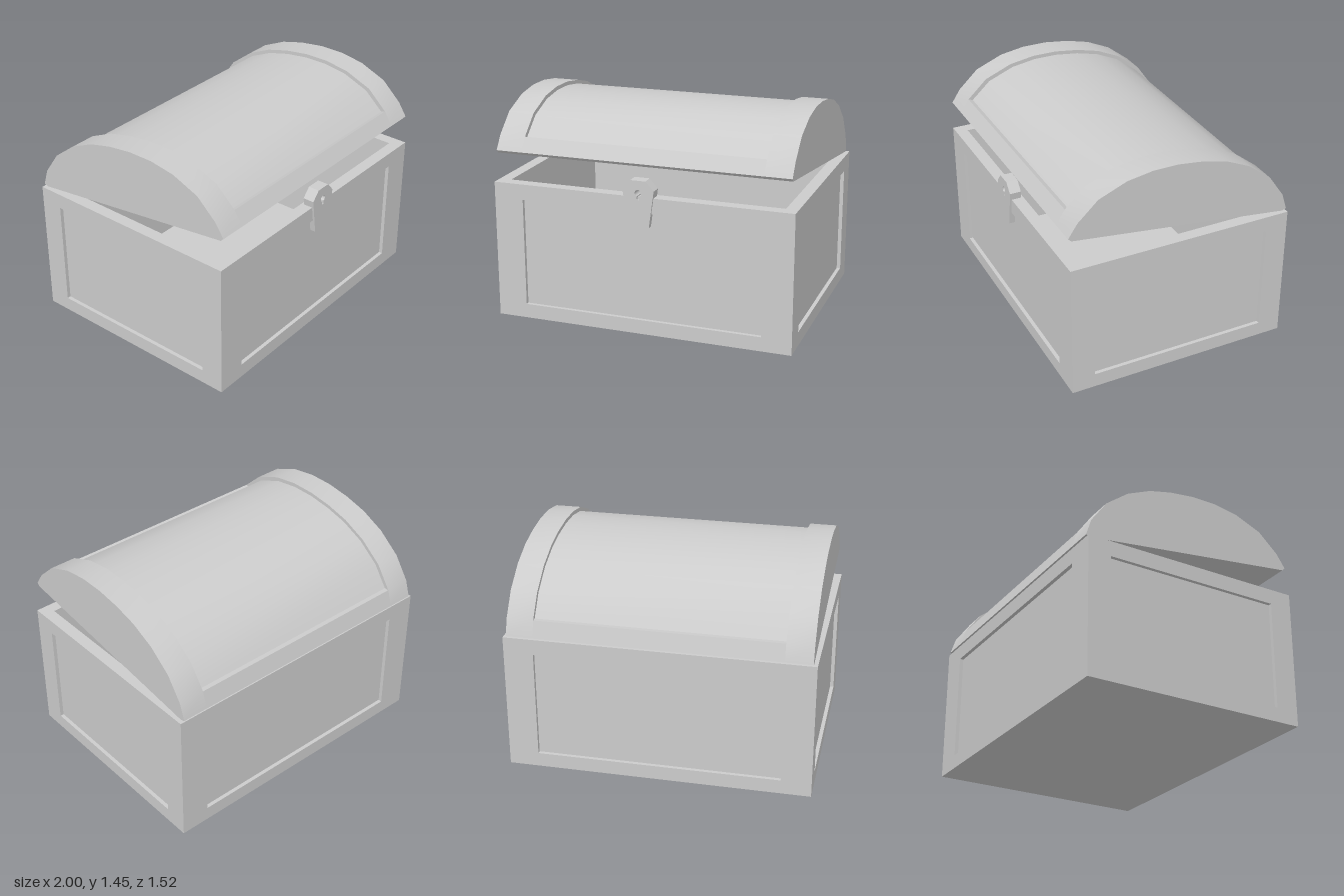
import * as THREE from 'three';
import { toCreasedNormals } from 'three/addons/utils/BufferGeometryUtils.js';

const material = new THREE.MeshStandardMaterial({ color: 0xcccccc });

const polygon = (points) => new THREE.Shape(points.map(([x, y]) => new THREE.Vector2(x, y)));
const rect = (x0, y0, x1, y1) => polygon([[x0, y0], [x1, y0], [x1, y1], [x0, y1]]);
const extrude = (shape, depth) =>
  new THREE.ExtrudeGeometry(shape, { depth, bevelEnabled: false, curveSegments: 16 });

function add(parent, name, geometry) {
  const mesh = new THREE.Mesh(geometry, material);
  mesh.name = name;
  parent.add(mesh);
  return mesh;
}

// Outer size of the box, the depth of its sunken panels and its wall thickness
const W = 1, D = 0.754, H = 0.918, RECESS = 0.025, WALL = 0.08;

// Flat border around a sunken panel, standing on y = 0 and facing +z
function frame(halfWidth, panelHalfWidth) {
  const shape = rect(-halfWidth, 0, halfWidth, H);
  shape.holes.push(rect(-panelHalfWidth, 0.095, panelHalfWidth, 0.815));
  return extrude(shape, RECESS);
}

function createBox() {
  const box = new THREE.Group();
  box.name = 'box';

  // Hollow core whose outer faces are the sunken panels
  const cw = W - RECESS, cd = D - RECESS, iw = W - WALL, id = D - WALL;
  const ring = rect(-cw, -cd, cw, cd);
  ring.holes.push(rect(-iw, -id, iw, id));
  add(box, 'walls', extrude(ring, H).rotateX(-Math.PI / 2));
  add(box, 'floor', new THREE.BoxGeometry(2 * iw, 0.06, 2 * id).translate(0, 0.03, 0));

  // Borders on the four sides
  for (const [name, turn] of [['front', 0], ['back', Math.PI]]) {
    add(box, name + 'Frame', frame(W, 0.803).translate(0, 0, cd).rotateY(turn));
  }
  for (const [name, turn] of [['left', Math.PI / 2], ['right', -Math.PI / 2]]) {
    add(box, name + 'Frame', frame(cd, 0.6).translate(0, 0, cw).rotateY(turn));
  }
  box.position.z = -0.003;
  return box;
}

// Extrudes a (z, y) profile along x between two positions
function alongX(points, x0, x1) {
  const g = extrude(polygon(points), x1 - x0).rotateY(-Math.PI / 2).translate(x1, 0, 0);
  return toCreasedNormals(g, 0.5);
}

function createLid() {
  const lid = new THREE.Group();
  lid.name = 'lid';

  // Tilted underside, then the arch from back to front
  const base = [[0.75, 1.13], [0.73, 1.11], [-0.73, 0.92], [-0.76, 0.93]];
  const arch = [
    [-0.725, 1.04], [-0.62, 1.19], [-0.465, 1.31], [-0.3, 1.385], [-0.14, 1.425],
    [0.03, 1.447], [0.2, 1.447], [0.37, 1.42], [0.555, 1.345], [0.69, 1.22],
  ];
  const sunken = arch.map(([z, y]) => [z * 0.957, 1.04 + (y - 1.04) * 0.937]);

  const x0 = 0.8, x1 = 0.975;
  add(lid, 'leftLidBand', alongX([...base, ...arch], x0, x1));
  add(lid, 'rightLidBand', alongX([...base, ...arch], -x1, -x0));
  // Sunken middle, keeping a raised strip along its front and back edges
  add(lid, 'lidPanel', alongX([...base, arch[0], ...sunken, arch[arch.length - 1]], -x0, x0));
  return lid;
}

function createLatch() {
  const plate = polygon([
    [-0.07, 0.727], [0.07, 0.727], [0.104, 0.967], [0.05, 1.027], [-0.05, 1.027], [-0.104, 0.967],
  ]);
  // Keyhole: round top with a narrow slot below
  const keyhole = new THREE.Path();
  keyhole.moveTo(-0.008, 0.902);
  keyhole.lineTo(0.008, 0.902);
  keyhole.absarc(0, 0.946, 0.022, -1.2, Math.PI + 1.2, false);
  keyhole.closePath();
  plate.holes.push(keyhole);
  return extrude(plate, 0.076).translate(0, 0, 0.688);
}

export function createModel() {
  const chest = new THREE.Group();
  chest.name = 'chest';
  chest.add(createBox(), createLid());
  add(chest, 'latch', createLatch());
  return chest;
}
